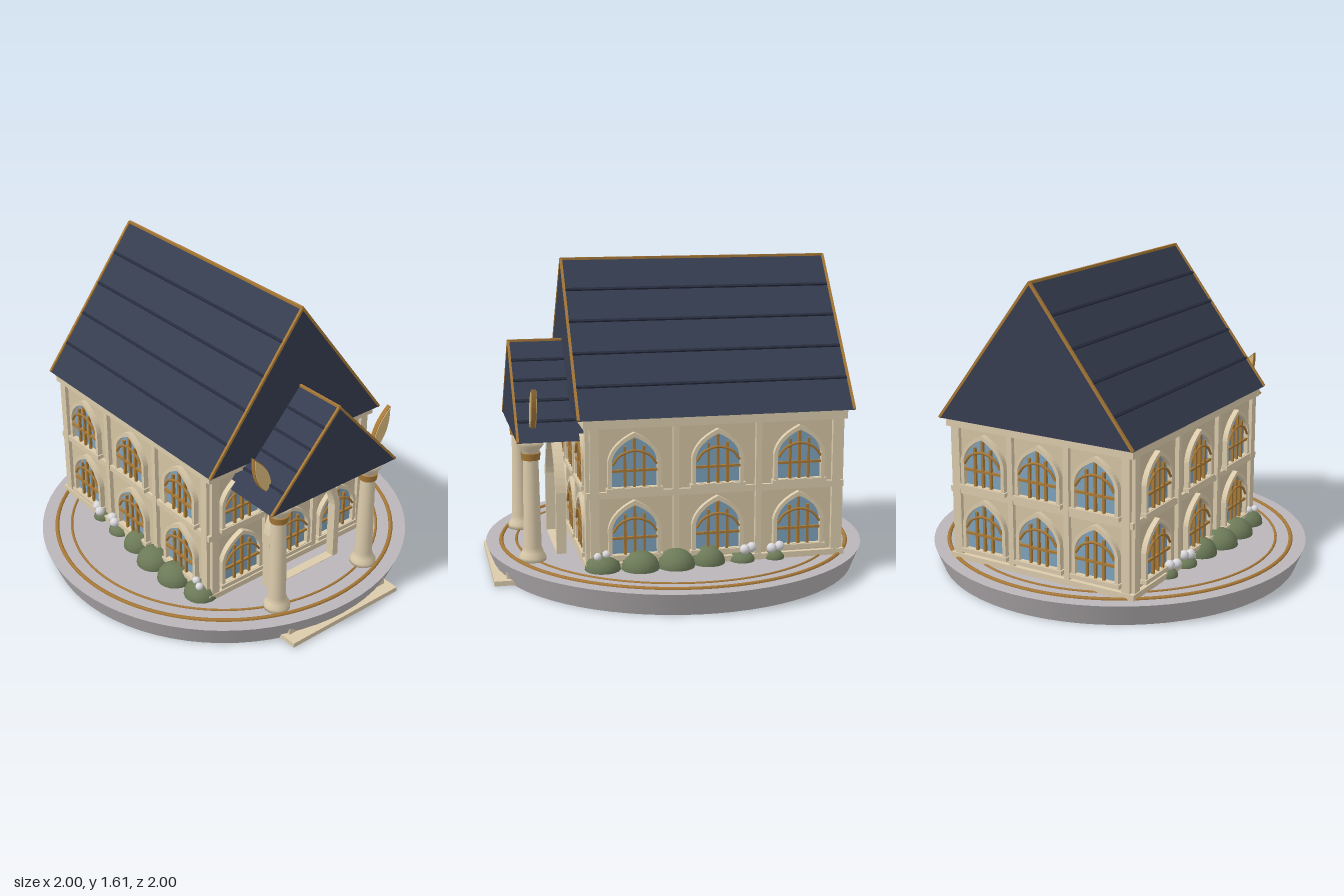
import * as THREE from 'three';

const mat = (name, color) => {
  const m = new THREE.MeshStandardMaterial({ color });
  m.name = name;
  return m;
};

export function createModel() {
  const root = new THREE.Group();
  root.name = 'chapel';
  const M = {
    paving: mat('paving grey', 0xbab5b8),
    wall: mat('wall stone', 0xd4c3a2),
    trim: mat('trim stone', 0xdbcbab),
    roof: mat('roof slate', 0x363d50),
    batten: mat('batten slate', 0x262c3c),
    gold: mat('aged gold', 0xa97a38),
    glass: mat('window glass', 0x7ea2bc),
    leaf: mat('leaf ornament', 0xdcbb7c),
    bush: mat('bush green', 0x6c7a58),
    flower: mat('flower white', 0xdadade),
  };

  const add = (parent, name, geo, m, x = 0, y = 0, z = 0) => {
    const mesh = new THREE.Mesh(geo, m);
    mesh.name = name;
    mesh.position.set(x, y, z);
    parent.add(mesh);
    return mesh;
  };
  const box = (p, name, m, w, h, d, x, y, z) => add(p, name, new THREE.BoxGeometry(w, h, d), m, x, y, z);
  // Square bar running between two points
  const bar = (p, name, m, a, b, size) => {
    const A = new THREE.Vector3(...a), B = new THREE.Vector3(...b);
    const mesh = box(p, name, m, size, size, A.distanceTo(B), 0, 0, 0);
    mesh.position.copy(A).add(B).multiplyScalar(0.5);
    mesh.lookAt(B);
    return mesh;
  };
  const extrude = (shape, depth) =>
    new THREE.ExtrudeGeometry(shape, { depth, bevelEnabled: false, curveSegments: 10 });

  // Pointed arch outline standing on y = base
  const archPath = (T, half, spring, apex, base = 0) => {
    const s = new T(), c = spring + (apex - spring) * 0.62;
    s.moveTo(-half, base);
    s.lineTo(half, base);
    s.lineTo(half, spring);
    s.quadraticCurveTo(half * 0.88, c, 0, apex);
    s.quadraticCurveTo(-half * 0.88, c, -half, spring);
    s.lineTo(-half, base);
    return s;
  };
  const archRing = (ho, so, ao, hi, si, ai, depth) => {
    const s = archPath(THREE.Shape, ho, so, ao);
    s.holes.push(archPath(THREE.Path, hi, si, ai, 0.002));
    return extrude(s, depth);
  };

  // Round terrace with inlaid rings and a front step
  const base = new THREE.Group();
  base.name = 'terrace';
  root.add(base);
  add(base, 'terraceDisc', new THREE.CylinderGeometry(1, 0.955, 0.115, 72), M.paving, 0, 0.0575, 0);
  [[0.92, 0.011], [0.84, 0.007]].forEach(([r, t]) => {
    add(base, 'inlayRing', new THREE.TorusGeometry(r, t, 6, 96), M.gold, 0, 0.115, 0).rotation.x = Math.PI / 2;
  });
  box(base, 'lowerStep', M.trim, 0.72, 0.025, 0.14, 0, 0.0175, 0.92);
  box(base, 'upperStep', M.trim, 0.66, 0.03, 0.1, 0, 0.045, 0.875);

  // One window: glass, stone surround, gold tracery and sill
  const surroundGeo = archRing(0.132, 0.135, 0.275, 0.113, 0.135, 0.252, 0.028);
  const glassGeo = new THREE.ShapeGeometry(archPath(THREE.Shape, 0.115, 0.135, 0.254), 10);
  const traceryGeo = new THREE.TubeGeometry(new THREE.CatmullRomCurve3(
    [[-0.11, 0.115], [-0.075, 0.16], [0, 0.185], [0.075, 0.16], [0.11, 0.115]]
      .map(([x, y]) => new THREE.Vector3(x, y, 0))), 16, 0.007, 6);
  const makeWindow = (p, x, y) => {
    const w = new THREE.Group();
    w.name = 'window';
    w.position.set(x, y, 0);
    p.add(w);
    add(w, 'glass', glassGeo, M.glass, 0, 0, 0.004);
    add(w, 'surround', surroundGeo, M.trim);
    box(w, 'sill', M.trim, 0.28, 0.022, 0.035, 0, -0.011, 0.0175);
    [[0, 0.245], [-0.048, 0.205], [0.048, 0.205]].forEach(([mx, h]) =>
      box(w, 'mullion', M.gold, 0.013, h, 0.014, mx, h / 2, 0.018));
    box(w, 'crossbar', M.gold, 0.225, 0.012, 0.014, 0, 0.085, 0.019);
    add(w, 'tracery', traceryGeo, M.gold, 0, 0, 0.024);
  };

  // Walls: four facades of three bays and two storeys
  const hall = new THREE.Group();
  hall.name = 'hall';
  hall.position.z = -0.11;
  root.add(hall);
  const HX = 0.52, HZ = 0.64;
  box(hall, 'walls', M.wall, HX * 2, 0.76, HZ * 2, 0, 0.49, 0);
  box(hall, 'plinth', M.trim, HX * 2 + 0.05, 0.03, HZ * 2 + 0.05, 0, 0.13, 0);
  box(hall, 'floorBand', M.trim, HX * 2 + 0.035, 0.032, HZ * 2 + 0.035, 0, 0.488, 0);
  box(hall, 'cornice', M.trim, HX * 2 + 0.05, 0.05, HZ * 2 + 0.06, 0, 0.847, 0);
  [[0, HX, HZ, 0.33], [1, HZ, HX, 0.42], [2, HX, HZ, 0.33], [3, HZ, HX, 0.42]].forEach(([turn, half, dist, step]) => {
    const f = new THREE.Group();
    f.name = 'facade';
    f.rotation.y = turn * Math.PI / 2;
    f.position.set(Math.sin(f.rotation.y) * dist, 0, Math.cos(f.rotation.y) * dist);
    hall.add(f);
    for (const i of [-1, 0, 1]) for (const y of [0.185, 0.525]) makeWindow(f, i * step, y);
    for (const s of [-1, 1]) {
      box(f, 'pilaster', M.trim, 0.03, 0.72, 0.025, s * step / 2, 0.48, 0.01);
      box(f, 'cornerPilaster', M.trim, 0.045, 0.72, 0.022, s * (half - 0.022), 0.48, 0.009);
    }
  });

  // Gabled roof: solid prism, battens, gold ridge and rakes
  const makeRoof = (name, half, y0, y1, zBack, zFront, battens, ends, t) => {
    const g = new THREE.Group();
    g.name = name;
    root.add(g);
    const tri = new THREE.Shape();
    tri.moveTo(-half, y0);
    tri.lineTo(half, y0);
    tri.lineTo(0, y1);
    add(g, 'roofBody', extrude(tri, zFront - zBack), M.roof, 0, 0, zBack);
    bar(g, 'ridge', M.gold, [0, y1, zBack], [0, y1, zFront], t);
    for (const s of [-1, 1]) {
      for (const z of ends) bar(g, 'rake', M.gold, [s * half, y0 + 0.003, z], [0, y1, z], t);
      for (let i = 1; i <= battens; i++) {
        const k = i / (battens + 1), x = s * half * k, y = y1 + (y0 - y1) * k;
        bar(g, 'batten', M.batten, [x, y, zBack + 0.01], [x, y, zFront - 0.008], 0.014)
          .rotateZ(s * Math.atan2(y1 - y0, half));
      }
    }
  };
  makeRoof('mainRoof', 0.56, 0.868, 1.6, -0.81, 0.588, 4, [-0.808, 0.585], 0.013);
  makeRoof('porchRoof', 0.41, 0.74, 1.188, 0.5, 0.865, 4, [0.862], 0.012);

  // Porch: columns, pointed arch and leaf ornaments
  const porch = new THREE.Group();
  porch.name = 'porch';
  root.add(porch);
  const turned = (pts) => new THREE.LatheGeometry(pts.map(([r, y]) => new THREE.Vector2(r, y)), 24);
  const columnGeo = turned([[0, 0.112], [0.068, 0.112], [0.068, 0.135], [0.056, 0.155], [0.046, 0.185], [0.038, 0.64]]);
  const capitalGeo = turned([[0.04, 0.66], [0.046, 0.685], [0.066, 0.71], [0.068, 0.742], [0, 0.742]]);
  const leafShape = (k) => {
    const s = new THREE.Shape();
    s.moveTo(0, -0.125 * k);
    s.quadraticCurveTo(0.075 * k, -0.02, 0, 0.125 * k);
    s.quadraticCurveTo(-0.075 * k, -0.02, 0, -0.125 * k);
    return s;
  };
  for (const s of [-1, 1]) {
    add(porch, 'column', columnGeo, M.trim, s * 0.3, 0, 0.79);
    add(porch, 'columnBand', new THREE.CylinderGeometry(0.05, 0.046, 0.035, 24), M.gold, s * 0.3, 0.652, 0.79);
    add(porch, 'capital', capitalGeo, M.trim, s * 0.3, 0, 0.79);
    const leaf = new THREE.Group();
    leaf.name = 'leafOrnament';
    leaf.position.set(s * 0.375, 0.895, s > 0 ? 0.782 : 0.74);
    leaf.rotation.z = -s * 0.42;
    porch.add(leaf);
    add(leaf, 'leafRim', extrude(leafShape(1), 0.022), M.gold, 0, 0, -0.011);
    add(leaf, 'leafBlade', extrude(leafShape(0.92), 0.03), M.leaf, 0, 0, -0.015);
  }
  add(porch, 'entranceArch', archRing(0.24, 0.32, 0.635, 0.205, 0.32, 0.59, 0.05), M.trim, 0, 0.115, 0.61);

  // Bushes and flowers along both long walls: [z, x, radius, height]
  const ball = new THREE.SphereGeometry(1, 20, 14);
  const garden = new THREE.Group();
  garden.name = 'garden';
  root.add(garden);
  for (const s of [-1, 1]) {
    [[0.47, 0.53, 0.09, 0.075], [0.285, 0.555, 0.095, 0.085], [0.105, 0.555, 0.095, 0.085],
      [-0.065, 0.53, 0.085, 0.085], [-0.24, 0.53, 0.065, 0.045], [-0.41, 0.53, 0.05, 0.04]]
      .forEach(([z, x, r, h]) => add(garden, 'bush', ball, M.bush, s * x, 0.118, z).scale.set(r, h, r));
    [[0.5, 0.19], [0.455, 0.195], [-0.245, 0.18], [-0.285, 0.185], [-0.385, 0.178], [-0.43, 0.182]]
      .forEach(([z, y], i) =>
        add(garden, 'flower', ball, M.flower, s * (i % 2 ? 0.55 : 0.565), y, z).scale.setScalar(i < 2 ? 0.02 : 0.025));
  }
  return root;
}
